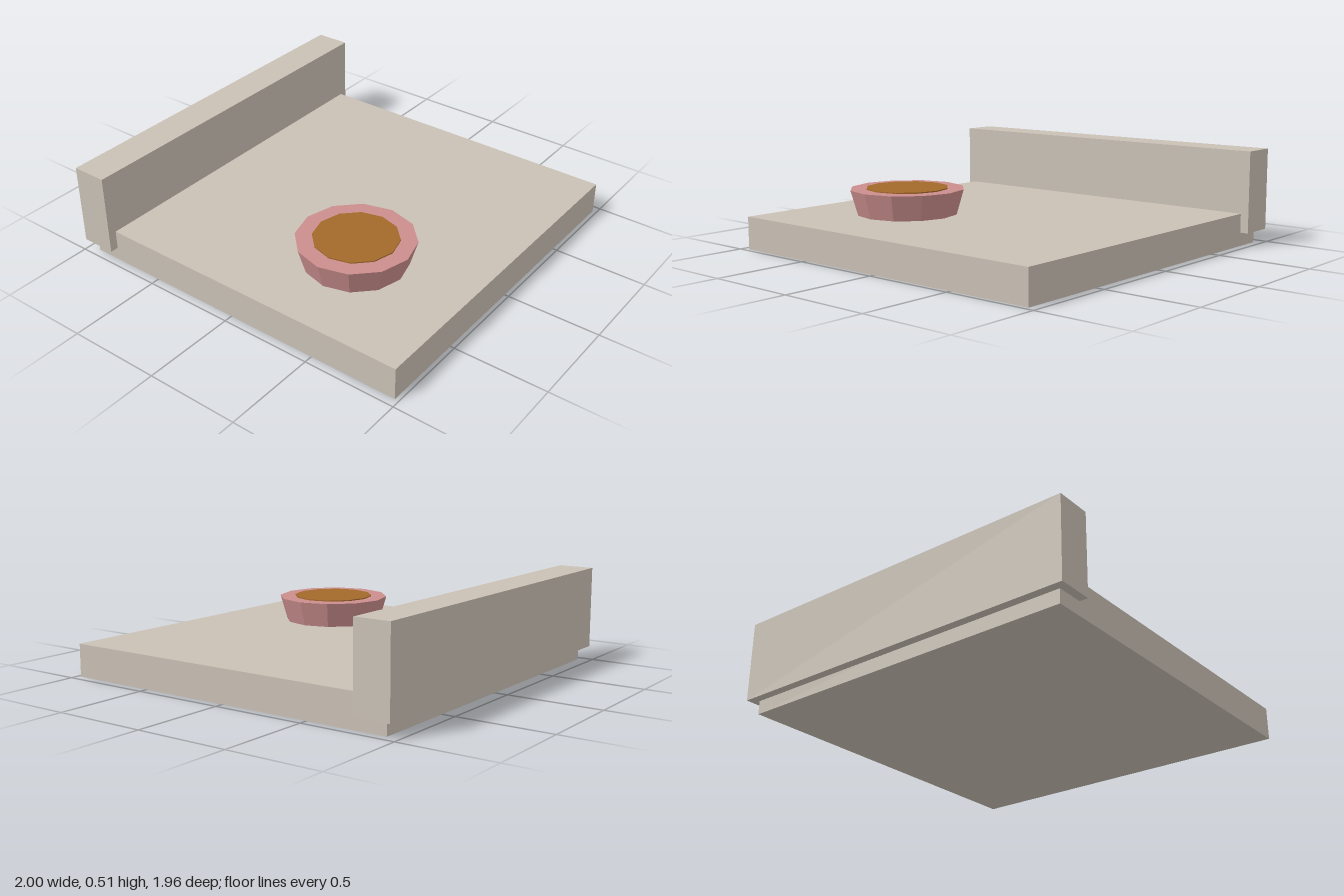
import * as THREE from 'three';

export function createModel() {
  const group = new THREE.Group();
  const material = (name, color) => {
    const m = new THREE.MeshStandardMaterial({ color });
    m.name = name;
    return m;
  };
  const stone = material('stone', 0xc9c0b5);
  const pink = material('pink', 0xca8e8d);
  const amber = material('amber', 0xa3692a);

  const add = (name, geometry, mat, x, y, z) => {
    const mesh = new THREE.Mesh(geometry, mat);
    mesh.name = name;
    mesh.position.set(x, y, z);
    group.add(mesh);
  };
  // Twelve-sided faceted frustum
  const frustum = (top, bottom, height) => {
    const flat = new THREE.CylinderGeometry(top, bottom, height, 12).toNonIndexed();
    flat.computeVertexNormals();
    return flat;
  };

  // Base slab and the rear wall let into its back edge
  add('baseSlab', new THREE.BoxGeometry(1.91, 0.175, 1.91), stone, 0, 0.0875, 0.023);
  add('backWall', new THREE.BoxGeometry(2, 0.438, 0.19), stone, 0, 0.292, -0.883);

  // Flared bowl with a thin disc of filling on top
  add('bowl', frustum(0.307, 0.268, 0.135), pink, -0.405, 0.2425, 0.35);
  add('filling', frustum(0.22, 0.22, 0.006), amber, -0.405, 0.313, 0.35);

  return group;
}
